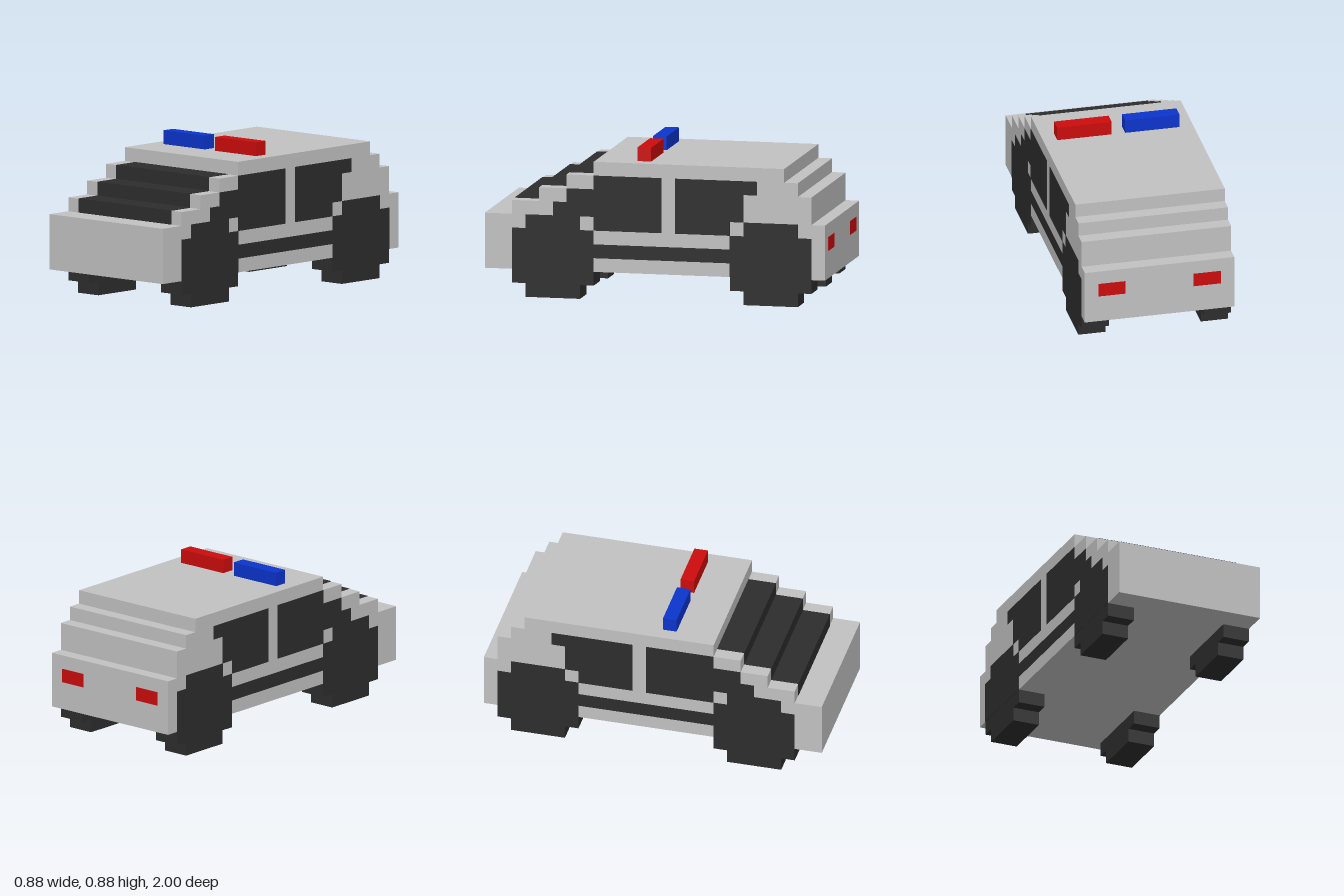
import * as THREE from 'three';

const U = 0.08; // block size of the stepped style
const T = 0.002; // thickness of painted plates

const mat = (name, color) => {
  const m = new THREE.MeshStandardMaterial({ color });
  m.name = name;
  return m;
};

export function createModel() {
  const car = new THREE.Group();
  car.name = 'car';
  const grey = mat('bodyGrey', 0xc2c2c2);
  const dark = mat('darkGrey', 0x2d2d2d);
  const red = mat('red', 0xcc0c0c);
  const blue = mat('blue', 0x0c34cc);

  const add = (name, geometry, material) => {
    const mesh = new THREE.Mesh(geometry, material);
    mesh.name = name;
    car.add(mesh);
  };
  // Box given by its lower and upper bounds on each axis
  const box = (name, material, [x0, x1], [y0, y1], [z0, z1]) =>
    add(name, new THREE.BoxGeometry(x1 - x0, y1 - y0, z1 - z0)
      .translate((x0 + x1) / 2, (y0 + y1) / 2, (z0 + z1) / 2), material);
  // Side outline of [z, y] points, extruded from x0 to x1
  const slab = (name, material, points, x0, x1) => {
    const shape = new THREE.Shape(points.map(([z, y]) => new THREE.Vector2(-z, y)));
    add(name, new THREE.ExtrudeGeometry(shape, { depth: x1 - x0, bevelEnabled: false })
      .rotateY(Math.PI / 2).translate(x0, 0, 0), material);
  };

  // Stepped body
  slab('body', grey, [
    [1, 0.16], [1, 0.48], [0.84, 0.48], [0.84, 0.56], [0.68, 0.56], [0.68, 0.64],
    [0.52, 0.64], [0.52, 0.72], [0.36, 0.72], [0.36, 0.8], [-0.76, 0.8], [-0.76, 0.72],
    [-0.84, 0.72], [-0.84, 0.64], [-0.92, 0.64], [-0.92, 0.48], [-1, 0.48], [-1, 0.16],
  ], -0.44, 0.44);

  // Windscreen: a dark riser and tread on each of three steps
  for (let i = 0; i < 3; i++) {
    const y = 0.48 + i * U, z = 0.84 - i * 2 * U;
    box('windscreenRiser', dark, [-0.36, 0.36], [y, y + U + T], [z, z + T]);
    box('windscreenTread', dark, [-0.36, 0.36], [y + U, y + U + T], [z - 2 * U, z]);
  }

  const frontWindow = [
    [-0.04, 0.4], [0.36, 0.4], [0.36, 0.48], [0.6, 0.48], [0.6, 0.56],
    [0.52, 0.56], [0.52, 0.64], [0.36, 0.64], [0.36, 0.72], [-0.04, 0.72],
  ];
  const rearWindow = [
    [-0.12, 0.4], [-0.44, 0.4], [-0.44, 0.48], [-0.52, 0.48],
    [-0.52, 0.64], [-0.6, 0.64], [-0.6, 0.72], [-0.12, 0.72],
  ];
  const stripe = [[0.36, 0.24], [0.36, 0.32], [-0.44, 0.32], [-0.44, 0.24]];

  for (const side of [1, -1]) {
    const span = (a, b) => (side > 0 ? [a, b] : [-b, -a]);
    const skin = span(0.44, 0.44 + T);

    // Side windows and stripe
    slab('frontSideWindow', dark, frontWindow, ...skin);
    slab('rearSideWindow', dark, rearWindow, ...skin);
    slab('sideStripe', dark, stripe, ...skin);

    // Wheels: solid below the body, painted on its flank above
    for (const c of [0.6, -0.68]) {
      slab('wheel', dark, [
        [c + 0.16, 0], [c + 0.16, U], [c + 0.24, U], [c + 0.24, 0.16],
        [c - 0.24, 0.16], [c - 0.24, U], [c - 0.16, U], [c - 0.16, 0],
      ], ...span(0.28, 0.44));
      slab('wheelFace', dark, [
        [c + 0.24, 0.16], [c + 0.24, 0.4], [c + 0.16, 0.4], [c + 0.16, 0.48],
        [c - 0.16, 0.48], [c - 0.16, 0.4], [c - 0.24, 0.4], [c - 0.24, 0.16],
      ], ...skin);
    }

    // Tail light and roof beacon
    box('tailLight', red, span(0.2, 0.36), [0.32, 0.4], [-1 - T, -1]);
    box('roofBeacon', side > 0 ? red : blue, span(0.04, 0.36), [0.8, 0.88], [0.04, 0.12]);
  }

  return car;
}
